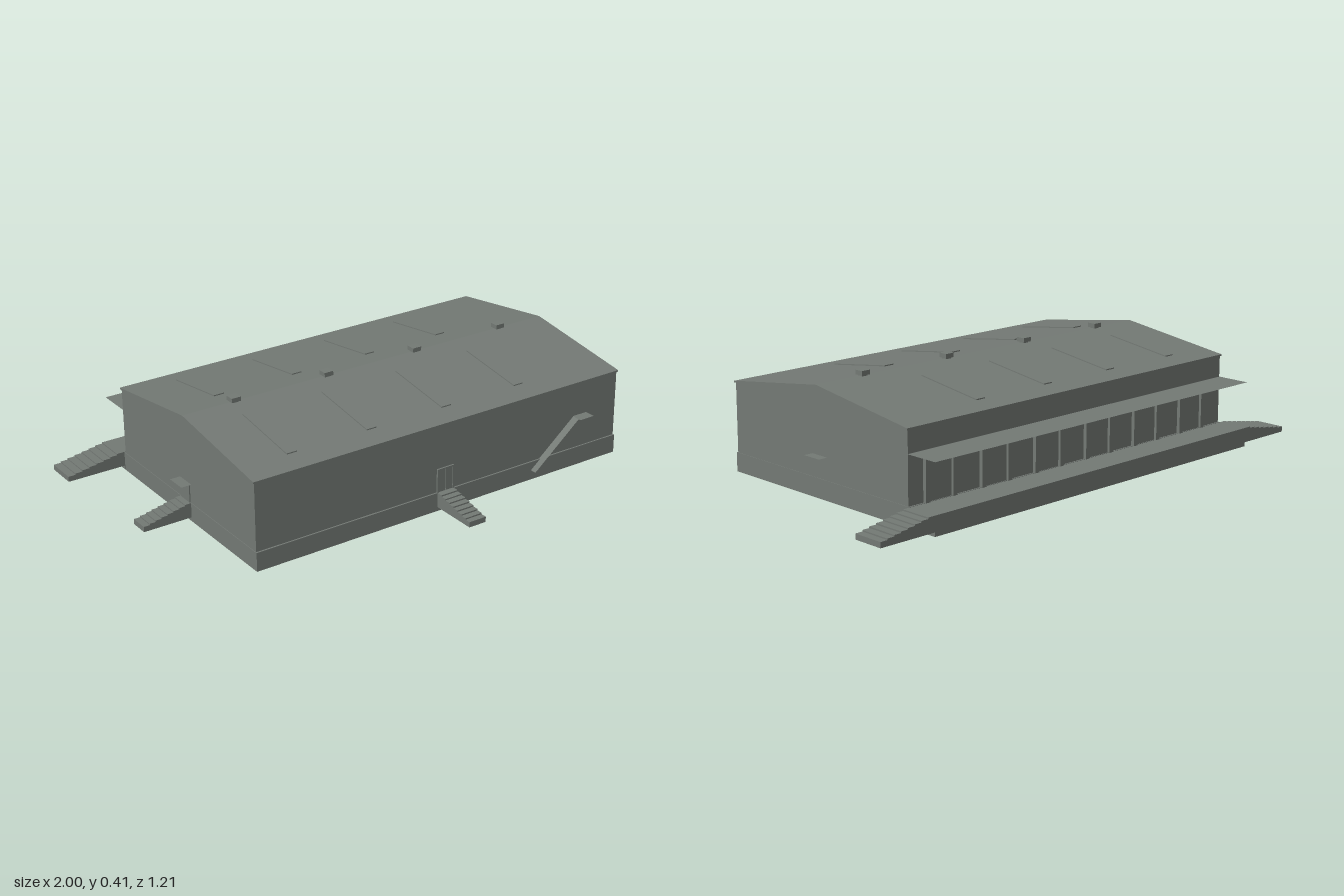
import * as THREE from 'three';

const grey = new THREE.MeshStandardMaterial({ color: 0x747a75 });
grey.name = 'concrete grey';
const greySheet = new THREE.MeshStandardMaterial({ color: 0x747a75, side: THREE.DoubleSide });
greySheet.name = 'concrete grey sheet';

export function createModel() {
  const model = new THREE.Group();
  model.name = 'warehouse';

  const add = (name, geometry, material = grey) => {
    const mesh = new THREE.Mesh(geometry, material);
    mesh.name = name;
    model.add(mesh);
    return mesh;
  };

  // Box given by its limits on each axis
  const box = (name, x0, x1, y0, y1, z0, z1) => {
    const g = new THREE.BoxGeometry(x1 - x0, y1 - y0, z1 - z0);
    g.translate((x0 + x1) / 2, (y0 + y1) / 2, (z0 + z1) / 2);
    return add(name, g);
  };

  // Profile of [z, y] points swept along x
  const sweepX = (name, points, x0, x1) => {
    const shape = new THREE.Shape(points.map(([z, y]) => new THREE.Vector2(-z, y)));
    const g = new THREE.ExtrudeGeometry(shape, { depth: x1 - x0, bevelEnabled: false });
    g.rotateY(Math.PI / 2).translate(x0, 0, 0);
    return add(name, g);
  };

  // Thin horizontal sheet
  const sheet = (name, x0, x1, y, z0, z1) => {
    const g = new THREE.PlaneGeometry(x1 - x0, z1 - z0).rotateX(-Math.PI / 2);
    g.translate((x0 + x1) / 2, y, (z0 + z1) / 2);
    return add(name, g, greySheet);
  };

  // Solid stair descending along local +x, then turned into place
  const stair = (name, run, width, x, z, turn) => {
    const steps = 8, top = 0.07, low = 0.035, foot = 0.015;
    const shape = new THREE.Shape();
    shape.moveTo(0, foot);
    shape.lineTo(run, foot);
    for (let i = steps - 1; i >= 0; i--) {
      const y = top - (i * (top - low)) / (steps - 1);
      shape.lineTo(((i + 1) * run) / steps, y);
      shape.lineTo((i * run) / steps, y);
    }
    const g = new THREE.ExtrudeGeometry(shape, { depth: width, bevelEnabled: false });
    g.translate(0, 0, -width / 2).rotateY(turn).translate(x, 0, z);
    return add(name, g);
  };

  // Plinth, gabled hall and roof skin
  const ridge = -0.03;
  box('plinth', -0.775, 0.775, 0, 0.07, -0.484, 0.424);
  sweepX('hall', [[0.418, 0.06], [0.418, 0.325], [ridge, 0.387], [-0.478, 0.325], [-0.478, 0.06]], -0.773, 0.773);
  sweepX('roof', [[0.422, 0.322], [0.422, 0.328], [ridge, 0.391], [-0.482, 0.328], [-0.482, 0.322], [ridge, 0.385]], -0.778, 0.778);

  // Rooflights: shallow strips lying on both slopes
  const roofY = (z) => 0.391 - (Math.abs(z - ridge) * 0.063) / 0.452;
  for (const x of [-0.575, -0.255, 0.06, 0.38]) {
    for (const [a, b] of [[0.06, 0.335], [-0.4, -0.13]]) {
      sweepX('rooflight', [[a, roofY(a)], [b, roofY(b)], [b, roofY(b) + 0.004], [a, roofY(a) + 0.004]], x - 0.02, x + 0.02);
    }
  }

  // Ridge vents
  for (const x of [-0.575, -0.195, 0.19, 0.575]) {
    box('ridgeVent', x - 0.018, x + 0.018, 0.394, 0.41, ridge - 0.017, ridge + 0.017);
    box('ventNeck', x - 0.012, x + 0.012, 0.38, 0.394, ridge - 0.01, ridge + 0.01);
  }

  // Loading platform, its end stairs and the canopy above
  box('platform', -0.775, 0.775, 0, 0.07, -0.605, -0.487);
  stair('platformStairLeft', 0.225, 0.118, 0.775, -0.546, 0);
  stair('platformStairRight', 0.225, 0.118, -0.775, -0.546, Math.PI);
  sheet('canopy', -0.775, 0.775, 0.243, -0.607, -0.478);

  // Loading doors with projecting surrounds
  for (let i = 0; i < 6; i++) {
    const x = 0.64 - i * 0.249;
    for (const s of [-1, 1]) {
      box('doorJamb', x + s * 0.06 - 0.009, x + s * 0.06 + 0.009, 0.07, 0.22, -0.491, -0.477);
    }
    box('doorHead', x - 0.069, x + 0.069, 0.2, 0.22, -0.491, -0.477);
    box('loadingDoor', x - 0.051, x + 0.051, 0.07, 0.2, -0.481, -0.477);
  }

  // Front entrance with double door and stair
  stair('frontStair', 0.182, 0.07, -0.004, 0.423, -Math.PI / 2);
  for (const s of [-1, 1]) {
    const x = -0.004 + s * 0.016;
    box('frontDoorLeaf', x - 0.014, x + 0.014, 0.07, 0.155, 0.417, 0.421);
    const j = -0.004 + s * 0.033;
    box('frontDoorJamb', j - 0.003, j + 0.003, 0.07, 0.16, 0.417, 0.424);
  }
  box('frontDoorHead', -0.04, 0.032, 0.155, 0.16, 0.417, 0.424);

  // Side entrance with stair, and a small canopy on each end wall
  stair('sideStair', 0.185, 0.07, -0.775, -0.037, Math.PI);
  box('sideDoor', -0.777, -0.772, 0.07, 0.135, -0.066, -0.008);
  sheet('sideCanopyRight', -0.812, -0.772, 0.142, -0.075, 0.002);
  sheet('sideCanopyLeft', 0.772, 0.808, 0.15, -0.075, 0.002);

  // Outside flight and landing on the front wall
  sheet('landing', 0.572, 0.635, 0.197, 0.418, 0.46);
  const flight = new THREE.PlaneGeometry(Math.hypot(0.195, 0.16), 0.03).rotateX(-Math.PI / 2);
  flight.rotateZ(Math.atan2(0.16, 0.195)).translate(0.477, 0.117, 0.434);
  add('wallFlight', flight, greySheet);

  return model;
}
